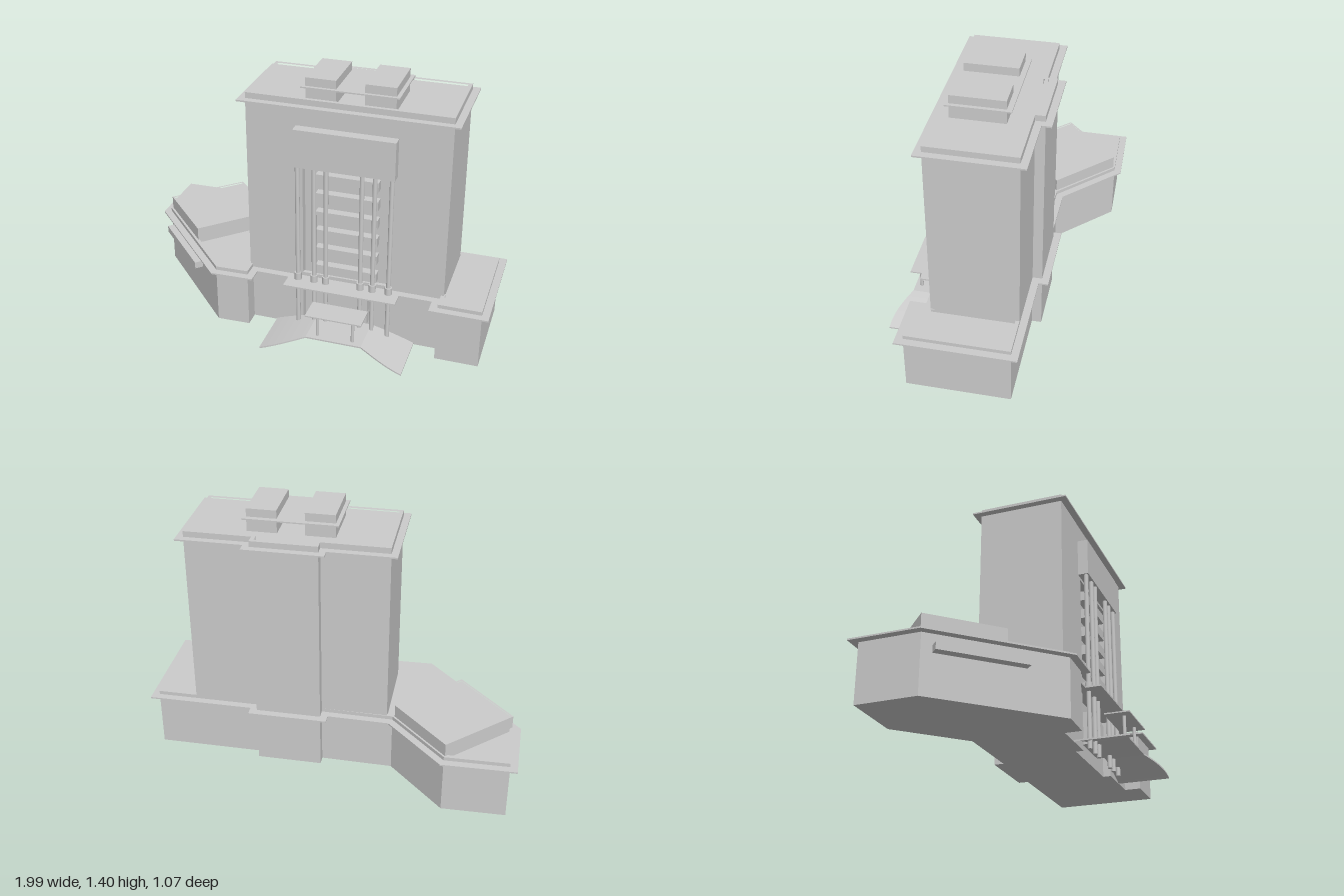
import * as THREE from 'three';

const mat = new THREE.MeshStandardMaterial({ color: 0xcccccc });
const sheetMat = new THREE.MeshStandardMaterial({ color: 0xcccccc, side: THREE.DoubleSide });

// Moves every edge of a plan outline [x, z] outwards by d (negative = inwards)
function offset(pts, d) {
  const n = pts.length;
  const area = pts.reduce((s, p, i) => {
    const q = pts[(i + 1) % n];
    return s + p[0] * q[1] - q[0] * p[1];
  }, 0);
  const sign = Math.sign(area);
  const normal = (a, b) => {
    const dx = b[0] - a[0], dz = b[1] - a[1], l = Math.hypot(dx, dz);
    return [(sign * dz) / l, (-sign * dx) / l];
  };
  return pts.map((p, i) => {
    const a = normal(pts[(i + n - 1) % n], p);
    const b = normal(p, pts[(i + 1) % n]);
    const k = d / (1 + a[0] * b[0] + a[1] * b[1]);
    return [p[0] + (a[0] + b[0]) * k, p[1] + (a[1] + b[1]) * k];
  });
}

const toVec = (pts) => pts.map(([x, z]) => new THREE.Vector2(x, -z));

// Vertical prism over a plan outline, with an optional hole
function prism(name, pts, y0, y1, hole) {
  const shape = new THREE.Shape(toVec(pts));
  if (hole) shape.holes.push(new THREE.Path(toVec(hole)));
  const geo = new THREE.ExtrudeGeometry(shape, { depth: y1 - y0, bevelEnabled: false });
  geo.rotateX(-Math.PI / 2).translate(0, y0, 0);
  const mesh = new THREE.Mesh(geo, mat);
  mesh.name = name;
  return mesh;
}

// Box given by its limits
function box(name, x0, x1, y0, y1, z0, z1) {
  const mesh = new THREE.Mesh(new THREE.BoxGeometry(x1 - x0, y1 - y0, z1 - z0), mat);
  mesh.position.set((x0 + x1) / 2, (y0 + y1) / 2, (z0 + z1) / 2);
  mesh.name = name;
  return mesh;
}

function post(name, x, z, r, y0, y1) {
  const mesh = new THREE.Mesh(new THREE.CylinderGeometry(r, r, y1 - y0, 12), mat);
  mesh.position.set(x, (y0 + y1) / 2, z);
  mesh.name = name;
  return mesh;
}

// Curved entrance sheet: a flat landing with flared ramps falling to both sides
function entranceRamp() {
  const pos = [], idx = [], steps = 12, xs = [];
  for (let i = steps; i >= 0; i--) xs.push([-1, i / steps]);
  for (let i = 0; i <= steps; i++) xs.push([1, i / steps]);
  for (const [side, t] of xs) {
    const x = 0.228 + side * (0.148 + 0.23 * t);
    const top = 0.008 + 0.068 * (1 - t) * (1 + 0.25 * t);
    const front = 0.465 + 0.07 * Math.sin((t * Math.PI) / 2);
    pos.push(x, top, 0.255, x, top, front, x, top - 0.008, front, x, top - 0.008, 0.255);
  }
  for (let i = 0; i < xs.length - 1; i++)
    for (let k = 0; k < 4; k++) {
      const a = i * 4 + k, b = i * 4 + ((k + 1) % 4);
      idx.push(a, b, a + 4, b, b + 4, a + 4);
    }
  const e = (xs.length - 1) * 4;
  idx.push(0, 2, 1, 0, 3, 2, e, e + 1, e + 2, e, e + 2, e + 3);
  const geo = new THREE.BufferGeometry();
  geo.setAttribute('position', new THREE.Float32BufferAttribute(pos, 3));
  geo.setIndex(idx);
  const flat = geo.toNonIndexed();
  flat.computeVertexNormals();
  const mesh = new THREE.Mesh(flat, sheetMat);
  mesh.name = 'entranceRamp';
  return mesh;
}

export function createModel() {
  const g = new THREE.Group();
  g.name = 'building';

  // Shared plan pieces: rear bay and front recess
  const rearBay = [[0.055, -0.195], [0.055, -0.245], [0.4, -0.245], [0.4, -0.195]];
  const recess = [[0.455, 0.255], [0.455, 0.215], [0.0, 0.215], [0.0, 0.255]];

  // Base with the angled wing and the side block
  const basePlan = (notch) => [
    [-0.955, -0.49], [-0.625, -0.497], [-0.325, -0.2], ...rearBay,
    [0.96, -0.195], [0.96, 0.34], [0.735, 0.34], [0.735, 0.255], ...notch,
    [-0.282, 0.255], [-0.282, 0.34], [-0.457, 0.345], [-0.958, -0.175],
  ];
  const base = basePlan([]);
  g.add(prism('baseWalls', basePlan(recess), 0, 0.305));
  g.add(prism('baseParapet', base, 0.305, 0.33, offset(base, -0.02)));
  g.add(prism('baseCornice', offset(base, 0.038), 0.302, 0.31));

  // Tower, recessed in front up to the header panel
  const towerPlan = (notch) => [
    [-0.295, -0.195], ...rearBay, [0.75, -0.195], [0.75, 0.255], ...notch, [-0.295, 0.255],
  ];
  const tower = towerPlan([]);
  g.add(prism('towerWalls', towerPlan(recess), 0.3, 0.95));
  g.add(prism('towerUpperWalls', tower, 0.95, 1.28));
  g.add(prism('towerParapet', tower, 1.28, 1.31, offset(tower, -0.02)));
  g.add(prism('towerCornice', offset(tower, 0.036), 1.271, 1.279));

  // Roof housings joined by a thin slab
  for (const x of [0, 0.3]) g.add(box('roofHousing', x, x + 0.156, 1.27, 1.403, -0.073, 0.203));
  g.add(box('roofHousingSlab', -0.02, 0.475, 1.352, 1.359, -0.1, 0.22));

  // Raised roof on the wing, with a thin rim
  const wingRoof = [[-0.63, -0.488], [-0.337, -0.197], [-0.66, 0.115], [-0.95, -0.183]];
  g.add(prism('wingRoofBlock', wingRoof, 0.3, 0.388));
  g.add(prism('wingRoofRim', wingRoof, 0.388, 0.4, offset(wingRoof, -0.01)));

  // Projecting band along the slanted wing wall
  const wingBand = [[-0.92, -0.135], [-0.605, 0.191], [-0.638, 0.223], [-0.953, -0.103]];
  g.add(prism('wingBand', wingBand, 0.21, 0.247));

  // Facade: header panel, floor bands, side jambs
  g.add(box('headerPanel', -0.033, 0.487, 0.965, 1.168, 0.25, 0.31));
  for (let i = 0; i < 6; i++) {
    const y = 0.34 + i * 0.105;
    g.add(box('floorBand', 0.07, 0.395, y, y + 0.052, 0.21, 0.259));
  }

  // Front columns with small feet on the balcony
  for (const x of [-0.015, 0.072, 0.135, 0.32, 0.385, 0.47]) {
    g.add(post('column', x, 0.293, 0.012, 0, 0.97));
    g.add(post('columnFoot', x, 0.293, 0.019, 0.31, 0.35));
  }

  // Balcony, doorway, canopy and ramp
  g.add(box('balcony', -0.07, 0.525, 0.302, 0.31, 0.22, 0.375));
  g.add(box('doorway', 0.105, 0.35, 0.07, 0.243, 0.21, 0.255));
  g.add(box('canopy', 0.08, 0.378, 0.206, 0.213, 0.34, 0.473));
  for (const x of [0.135, 0.323]) g.add(post('canopyPost', x, 0.43, 0.009, 0.07, 0.208));
  g.add(entranceRamp());

  return g;
}
